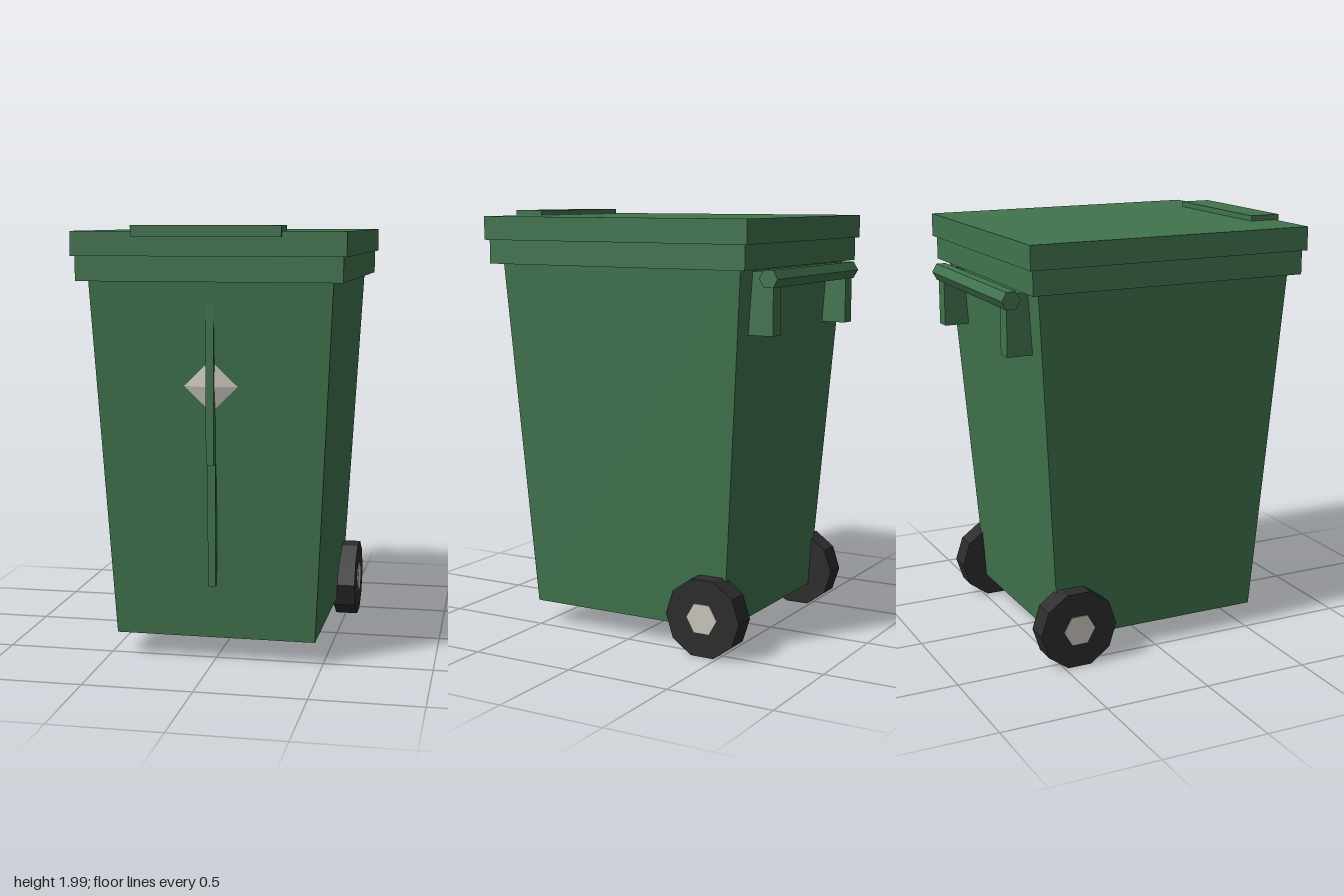
import * as THREE from 'three';

export function createModel() {
  const bin = new THREE.Group();
  bin.name = 'wheeledBin';

  const mat = (name, color) => {
    const m = new THREE.MeshStandardMaterial({ color, flatShading: true });
    m.name = name;
    return m;
  };
  const green = mat('binGreen', 0x41744e);
  const rubber = mat('tyreBlack', 0x2c2c2c);
  const pale = mat('paleGrey', 0xcbc6be);

  const add = (name, geometry, material) => {
    const mesh = new THREE.Mesh(geometry, material);
    mesh.name = name;
    bin.add(mesh);
    return mesh;
  };
  // Box from its low and high limits on each axis
  const box = (name, x0, x1, y0, y1, z0, z1) => {
    const mesh = add(name, new THREE.BoxGeometry(x1 - x0, y1 - y0, z1 - z0), green);
    mesh.position.set((x0 + x1) / 2, (y0 + y1) / 2, (z0 + z1) / 2);
    return mesh;
  };

  // Tapered body: narrower at the bottom on all sides
  const bodyGeo = new THREE.BoxGeometry(2, 1, 2);
  const p = bodyGeo.attributes.position;
  for (let i = 0; i < p.count; i++) {
    const top = p.getY(i) > 0;
    const front = p.getZ(i) > 0;
    const x = Math.sign(p.getX(i)) * (top ? 0.55 : 0.465);
    const z = front ? (top ? 0.645 : 0.533) : (top ? -0.606 : -0.488);
    p.setXYZ(i, x, top ? 1.76 : 0.115, z);
  }
  bodyGeo.computeVertexNormals();
  add('body', bodyGeo, green);

  // Rim, lid and lid grip
  box('rim', -0.597, 0.597, 1.755, 1.866, -0.65, 0.69);
  box('lid', -0.613, 0.613, 1.866, 1.975, -0.667, 0.708);
  box('lidGrip', -0.333, 0.333, 1.95, 2, 0.578, 0.727);

  // Stepped rib down the front
  box('lowerRib', -0.018, 0.018, 0.375, 0.938, 0.57, 0.604);
  box('upperRib', -0.018, 0.018, 0.938, 1.66, 0.602, 0.639);

  // Shallow faceted diamond lying on the sloping front
  const diamond = add('frontDiamond', new THREE.OctahedronGeometry(1), pale);
  diamond.scale.set(0.122, 0.118, 0.018);
  diamond.position.set(0, 1.29, 0.613);
  diamond.rotation.x = 0.068;

  // Push bar: hexagonal, with a corner uppermost
  const bar = add('pushBar', new THREE.CylinderGeometry(0.045, 0.045, 0.89, 6).rotateZ(Math.PI / 2), green);
  bar.position.set(0, 1.715, -0.687);

  for (const s of [1, -1]) {
    const side = s > 0 ? 'left' : 'right';
    // Push bar bracket
    const cx = s * 0.395;
    box(side + 'BarBracket', cx - 0.037, cx + 0.037, 1.465, 1.745, -0.705, -0.585);

    // Ten-sided wheel and six-sided hub, each with a corner uppermost
    const wheel = add(side + 'Wheel', new THREE.CylinderGeometry(0.1875, 0.1875, 0.108, 10).rotateZ(Math.PI / 2), rubber);
    wheel.position.set(s * 0.504, 0.1875, -0.426);
    const hub = add(side + 'Hub', new THREE.CylinderGeometry(0.077, 0.077, 0.009, 6).rotateZ(Math.PI / 2), pale);
    hub.position.set(s * 0.5585, 0.1875, -0.426);
  }

  return bin;
}
